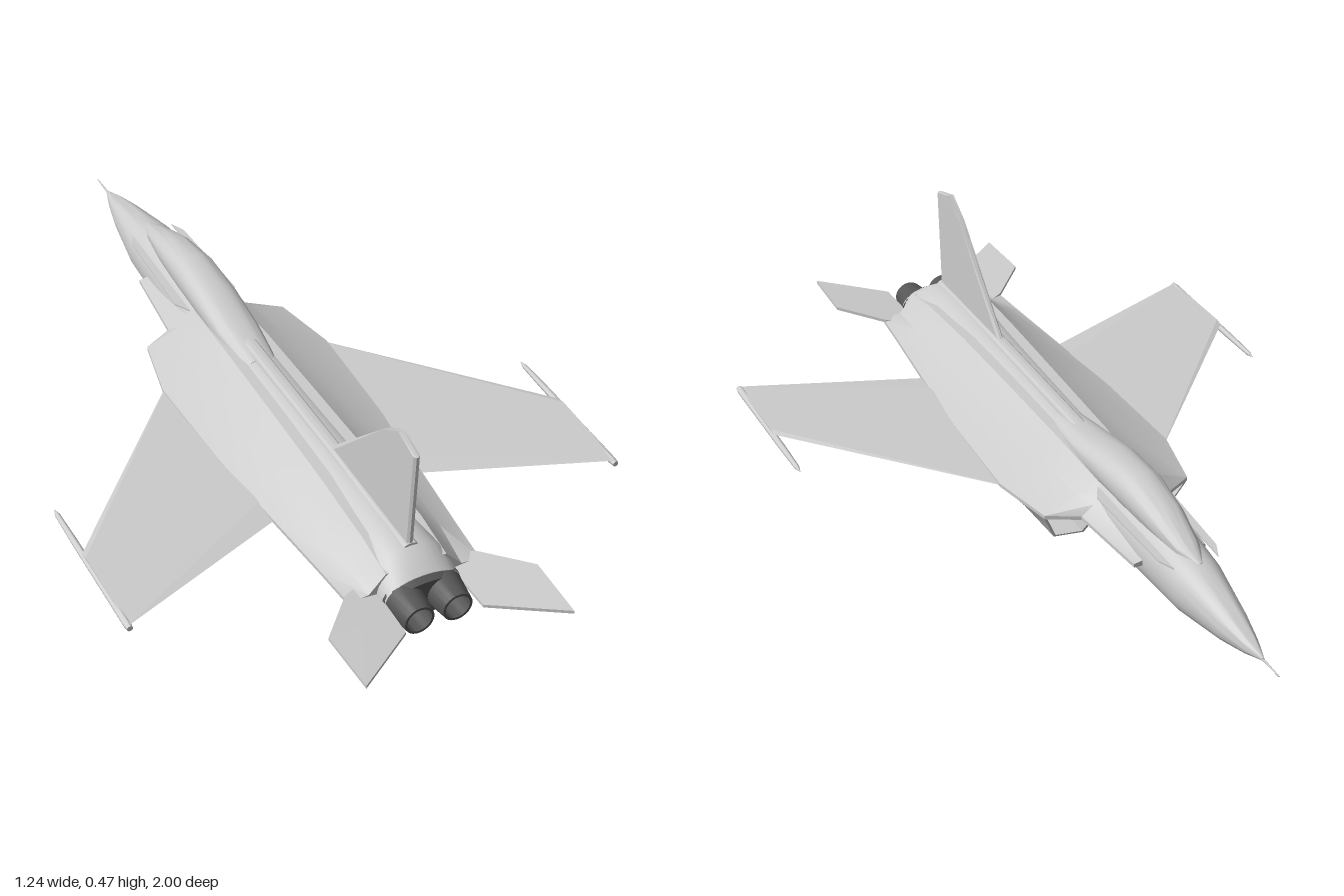
import * as THREE from 'three';
import { toCreasedNormals } from 'three/addons/utils/BufferGeometryUtils.js';

const grey = new THREE.MeshStandardMaterial({ color: 0xcccccc });
const dark = new THREE.MeshStandardMaterial({ color: 0x555555 });

// Skin a row of closed rings of [x, y, z] points, cap both ends, face outward.
function loft(rings, crease = 0.6, side = 1) {
  const n = rings[0].length;
  const pos = [];
  const idx = [];
  rings.forEach(r => r.forEach(p => pos.push(p[0] * side, p[1], p[2])));
  for (let i = 0; i < rings.length - 1; i++) {
    for (let j = 0; j < n; j++) {
      const a = i * n + j, b = i * n + (j + 1) % n;
      idx.push(a, b, b + n, a, b + n, a + n);
    }
  }
  [0, rings.length - 1].forEach((ri, end) => {
    const c = pos.length / 3;
    const mid = [0, 1, 2].map(k => rings[ri].reduce((s, p) => s + p[k], 0) / n);
    pos.push(mid[0] * side, mid[1], mid[2]);
    for (let j = 0; j < n; j++) {
      const a = ri * n + j, b = ri * n + (j + 1) % n;
      idx.push(...(end ? [a, b, c] : [b, a, c]));
    }
  });
  // Signed volume tells whether the winding must be reversed.
  const v = i => new THREE.Vector3().fromArray(pos, i * 3);
  let volume = 0;
  for (let i = 0; i < idx.length; i += 3) {
    volume += v(idx[i]).dot(v(idx[i + 1]).cross(v(idx[i + 2])));
  }
  if (volume < 0) idx.reverse();
  const g = new THREE.BufferGeometry();
  g.setAttribute('position', new THREE.Float32BufferAttribute(pos, 3));
  g.setIndex(idx);
  return toCreasedNormals(g, crease);
}

// Rounded cross-section at z with half width w between top and bottom.
function oval(z, w, top, bottom, power = 2.2, n = 32) {
  const bend = t => Math.sign(t) * Math.pow(Math.abs(t), 2 / power);
  return Array.from({ length: n }, (_, i) => {
    const a = (i / n) * Math.PI * 2;
    return [w * bend(Math.cos(a)), (top + bottom) / 2 + (top - bottom) / 2 * bend(Math.sin(a)), z];
  });
}

// Symmetric ring from the points of its +x half.
const symmetric = half => [...half, ...half.slice().reverse().map(([x, y, z]) => [-x, y, z])];

export function createModel() {
  const root = new THREE.Group();
  const add = (name, geometry, material = grey) => {
    const m = new THREE.Mesh(geometry, material);
    m.name = name;
    root.add(m);
    return m;
  };

  // Fuselage: z, half width, top, bottom
  add('fuselage', loft([
    [-0.935, 0.003, 0.105, 0.098], [-0.88, 0.02, 0.122, 0.08], [-0.8, 0.038, 0.142, 0.061],
    [-0.65, 0.062, 0.174, 0.038], [-0.5, 0.07, 0.188, 0.033], [-0.25, 0.075, 0.192, 0.025],
    [0, 0.078, 0.193, 0.015], [0.35, 0.085, 0.196, 0.006], [0.65, 0.092, 0.198, 0.001],
    [0.73, 0.098, 0.194, 0.001], [0.79, 0.094, 0.157, 0.05],
  ].map(s => oval(...s))));

  const probe = add('noseProbe', new THREE.CylinderGeometry(0.003, 0.0015, 0.075, 8));
  probe.rotation.x = Math.PI / 2;
  probe.position.set(0, 0.101, -0.9625);

  // Canopy: z, half width, top, bottom
  add('canopy', loft([
    [-0.66, 0.006, 0.173, 0.16], [-0.6, 0.03, 0.195, 0.155], [-0.5, 0.045, 0.228, 0.15],
    [-0.38, 0.054, 0.246, 0.15], [-0.25, 0.056, 0.236, 0.15], [-0.13, 0.054, 0.212, 0.15],
    [0, 0.04, 0.194, 0.15],
  ].map(s => oval(...s, 2.3))));

  // Raised spine running back to the fin
  add('spine', loft([[-0.15, 0.2], [-0.05, 0.206], [0.4, 0.206], [0.73, 0.2]]
    .map(([z, y]) => oval(z, 0.018, y, 0.17, 3, 16))));

  // Shoulders blending into the wings: z, crest x and y, mid x and y, edge x
  add('shoulders', loft([
    [-0.52, 0.04, 0.13, 0.065, 0.116, 0.09], [-0.3, 0.05, 0.165, 0.08, 0.135, 0.11],
    [-0.26, 0.055, 0.175, 0.1, 0.143, 0.185], [-0.09, 0.06, 0.184, 0.12, 0.148, 0.22],
    [0.2, 0.065, 0.186, 0.13, 0.143, 0.21], [0.44, 0.07, 0.186, 0.13, 0.138, 0.19],
    [0.64, 0.075, 0.18, 0.125, 0.13, 0.172], [0.755, 0.075, 0.16, 0.115, 0.116, 0.163],
  ].map(([z, cx, cy, mx, my, ex]) => symmetric([
    [cx, cy, z], [mx, my, z], [ex, 0.111, z], [ex, 0.102, z], [0.04, 0.1, z],
  ])), 0.5));

  // Nozzle wall and its recessed bore
  const nozzleProfile = [[0, 0.73], [0.047, 0.73], [0.047, 0.785], [0.036, 0.86], [0.03, 0.86], [0.032, 0.81]]
    .map(p => new THREE.Vector2(...p));

  for (const side of [1, -1]) {
    const prefix = side > 0 ? 'left' : 'right';

    // Air intake trunk with a swept, hollow mouth
    const mouth = [[0.07, 0.103, -0.3], [0.185, 0.103, -0.26], [0.152, 0.032, -0.24], [0.08, 0.03, -0.25]];
    const centre = [0.12, 0.07, -0.26];
    const lip = mouth.map(p => p.map((c, k) => centre[k] + (c - centre[k]) * 0.88));
    const throat = lip.map(([x, y, z]) => [x, y, z + 0.1]);
    const trunk = [
      [-0.09, 0.216, 0.156, 0.03], [0.2, 0.205, 0.15, 0.028], [0.44, 0.19, 0.14, 0.028],
      [0.62, 0.174, 0.125, 0.035], [0.755, 0.162, 0.125, 0.088],
    ].map(([z, ex, bx, by]) => [[0.06, 0.103, z], [ex, 0.103, z], [bx, by, z], [0.06, by - 0.004, z]]);
    add(prefix + 'IntakeTrunk', loft([throat, lip, mouth, ...trunk], 0.35, side));

    // Wing, thickest along a line ahead of the trailing flaps
    const section = (x, lead, ridge, trail, t) => [
      [x, 0.106, lead], [x, 0.106 + t, ridge], [x, 0.105, trail], [x, 0.104 - t, ridge]];
    add(prefix + 'Wing', loft([
      section(0.15, -0.168, 0.35, 0.425, 0.007), section(0.615, 0.35, 0.37, 0.602, 0.004),
    ], 0.02, side));

    // Wing tip rail
    add(prefix + 'TipRail', loft([
      [0.18, 0.001], [0.2, 0.006], [0.3, 0.008], [0.59, 0.009], [0.605, 0.007],
    ].map(([z, r]) => oval(z, r, 0.098 + r, 0.098 - r, 2, 12)
      .map(([x, y, zz]) => [x + 0.612, y, zz])), 0.6, side));

    // Tailplane, rising slightly outward
    const tail = [[0.09, 0.70], [0.163, 0.735], [0.257, 0.84], [0.252, 1.0], [0.095, 0.885]];
    const tailRing = dy => tail.map(([x, z]) => [x, 0.106 + (x - 0.09) * 0.09 + dy, z]);
    add(prefix + 'Tailplane', loft([tailRing(-0.004), tailRing(0.004)], 0.3, side));

    // Slim strake beside the cockpit
    const strake = [[0.055, -0.64], [0.072, -0.6], [0.082, -0.32], [0.06, -0.28]];
    const strakeRing = dy => strake.map(([x, z]) => [x, 0.163 + (z + 0.6) * 0.01 + dy, z]);
    add(prefix + 'CockpitStrake', loft([strakeRing(-0.002), strakeRing(0.002)], 0.3, side));

    // Engine nozzle
    const nozzle = add(prefix + 'Nozzle',
      toCreasedNormals(new THREE.LatheGeometry(nozzleProfile, 28), 0.4), dark);
    nozzle.material.side = THREE.DoubleSide;
    nozzle.rotation.x = Math.PI / 2;
    nozzle.position.set(0.047 * side, 0.102, 0);
    const bore = add(prefix + 'NozzleBore', new THREE.CircleGeometry(0.033, 28));
    bore.position.set(0.047 * side, 0.102, 0.812);
  }

  // Dark fairing around the nozzles
  add('nozzleFairing', loft([
    oval(0.78, 0.096, 0.16, 0.048), oval(0.805, 0.09, 0.148, 0.056),
  ]), dark);

  // Vertical fin with tapered edges
  const fin = [[0.35, 0.19], [0.37, 0.205], [0.6, 0.427], [0.67, 0.47], [0.74, 0.45], [0.728, 0.19]];
  const finRing = (x, s) => fin.map(([z, y]) => [x, y, 0.62 + (z - 0.62) * s]);
  add('fin', loft([finRing(-0.008, 0.95), finRing(-0.003, 1), finRing(0.003, 1), finRing(0.008, 0.95)], 0.3));

  return root;
}
